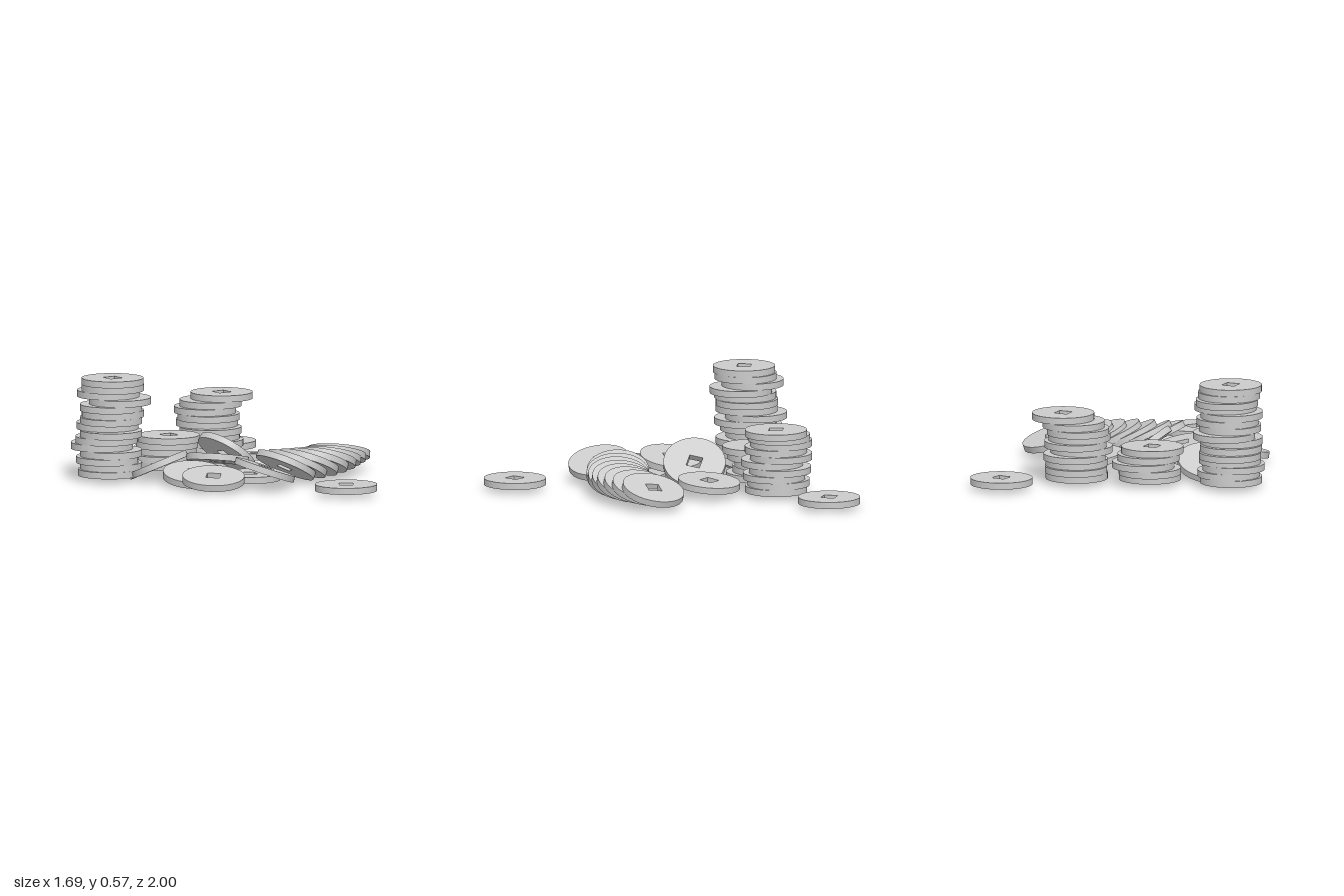
import * as THREE from 'three';
import { toCreasedNormals } from 'three/addons/utils/BufferGeometryUtils.js';

const R = 0.17, THICK = 0.036, HOLE = 0.0375, GROUND = 0.03;

// Round disc with a square hole, centred on its own middle, lying flat
function coinGeometry() {
  const shape = new THREE.Shape().absarc(0, 0, R, 0, Math.PI * 2, false);
  const hole = new THREE.Path();
  hole.moveTo(-HOLE, -HOLE).lineTo(-HOLE, HOLE).lineTo(HOLE, HOLE).lineTo(HOLE, -HOLE).closePath();
  shape.holes.push(hole);
  const geo = new THREE.ExtrudeGeometry(shape, { depth: THICK, bevelEnabled: false, curveSegments: 64 });
  geo.translate(0, 0, -THICK / 2);
  geo.rotateX(-Math.PI / 2);
  return toCreasedNormals(geo, 0.6);
}

export function createModel() {
  const model = new THREE.Group();
  model.name = 'coinPile';
  const geo = coinGeometry();
  const mat = new THREE.MeshStandardMaterial({ color: 0xcccccc });
  const up = new THREE.Vector3(0, 1, 0);
  const rad = THREE.MathUtils.degToRad;

  // The coin's upper face leans towards (dx, dz) by tilt degrees
  function coin(parent, name, [x, y, z], spin = 0, tilt = 0, dx = 0, dz = 1) {
    const mesh = new THREE.Mesh(geo, mat);
    mesh.name = name;
    mesh.position.set(x, y, z);
    const axis = new THREE.Vector3(dz, 0, -dx).normalize();
    mesh.quaternion.setFromAxisAngle(axis, rad(tilt))
      .multiply(new THREE.Quaternion().setFromAxisAngle(up, rad(spin)));
    parent.add(mesh);
  }

  function group(name) {
    const g = new THREE.Group();
    g.name = name;
    model.add(g);
    return g;
  }

  // Upright stacks: [x, z] of each coin from the bottom up
  const stacks = {
    tallStack: [
      [-0.64, 0.27], [-0.63, 0.26], [-0.65, 0.28], [-0.63, 0.27], [-0.68, 0.24],
      [-0.655, 0.26], [-0.63, 0.28], [-0.65, 0.22], [-0.63, 0.27], [-0.62, 0.26],
      [-0.63, 0.28], [-0.58, 0.27], [-0.645, 0.24], [-0.62, 0.27], [-0.62, 0.28]],
    middleStack: [
      [-0.10, -0.39], [-0.11, -0.40], [-0.09, -0.385], [-0.11, -0.41], [-0.10, -0.36],
      [-0.12, -0.41], [-0.11, -0.38], [-0.13, -0.40], [-0.10, -0.41], [-0.04, -0.44]],
    shortStack: [
      [-0.33, -0.06], [-0.36, -0.08], [-0.34, -0.11], [-0.33, -0.07], [-0.32, -0.04]],
  };
  for (const [name, spots] of Object.entries(stacks)) {
    const g = group(name);
    spots.forEach(([x, z], i) => {
      const fromTop = spots.length - 1 - i;
      coin(g, 'stackedCoin', [x, GROUND + THICK * (i + 0.5), z], 35 + fromTop * 37);
    });
  }

  // Curved row of coins leaning on one another
  const row = group('toppledRow');
  const path = [
    [0.33, 0.38], [0.39, 0.33], [0.45, 0.27], [0.50, 0.20],
    [0.54, 0.13], [0.565, 0.06], [0.59, -0.02], [0.61, -0.11]];
  path.forEach(([x, z], i) => {
    const a = path[Math.max(i - 1, 0)], b = path[Math.min(i + 1, path.length - 1)];
    coin(row, 'leaningCoin', [x, 0.105, z], 10 + i * 7, 28 - i * 1.4, b[0] - a[0], b[1] - a[1]);
  });

  // Coins lying flat on the ground
  const flat = group('flatCoins');
  const y0 = GROUND + THICK / 2;
  coin(flat, 'backCoin', [-0.03, y0, -0.83], 25);
  coin(flat, 'frontCoin', [0.67, y0, 0.83], 2);
  coin(flat, 'buriedCoin', [0.13, y0, 0.43], 15);

  // Loose heap in the middle
  const heap = group('looseHeap');
  coin(heap, 'heapCoin', [0.16, 0.08, -0.13], 5, 6, 0, -1);
  coin(heap, 'steepCoin', [0, 0.135, 0.11], 25, 39, 0.75, -0.66);
  coin(heap, 'heapCoin', [-0.045, 0.13, 0.32], -30, 12, 0.3, -1);
  coin(heap, 'heapCoin', [0.22, 0.11, 0.605], 28, 19, 0.9, -0.3);
  coin(heap, 'heapCoin', [-0.06, 0.07, 0.67], -5, 11, 0.1, 1);
  coin(heap, 'heapCoin', [-0.17, 0.065, 0.49], -5, 13, 0.2, 1);
  coin(heap, 'heapCoin', [-0.37, 0.09, 0.29], 35, 24, -0.9, -0.3);

  return model;
}
